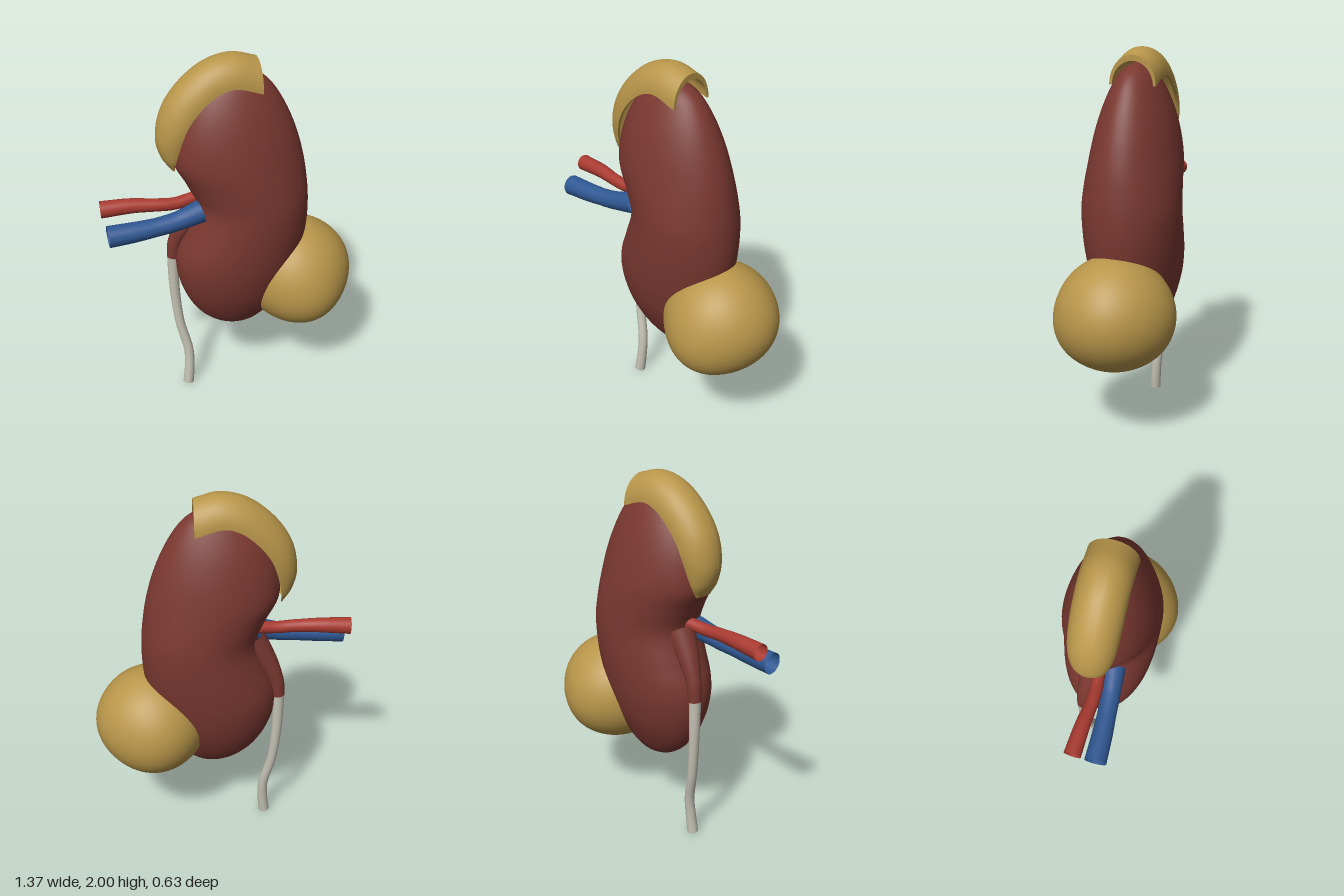
import * as THREE from 'three';
import { toCreasedNormals } from 'three/addons/utils/BufferGeometryUtils.js';

const material = (name, color, side = THREE.FrontSide) => {
  const m = new THREE.MeshStandardMaterial({ color, side });
  m.name = name;
  return m;
};

// Smooth curve through [x, y, z] points, sampled evenly by point index
const spline = (pts) =>
  new THREE.CatmullRomCurve3(pts.map((p) => new THREE.Vector3(...p)), false, 'catmullrom', 0.5);

// Skin a list of closed cross-section loops; caps join each point to its mirror in the loop
function loft(rows, capped = false) {
  const n = rows[0].length, index = [];
  for (let i = 0; i < rows.length - 1; i++) {
    for (let j = 0; j < n; j++) {
      const a = i * n + j, b = i * n + ((j + 1) % n);
      index.push(a, a + n, b, b, a + n, b + n);
    }
  }
  if (capped) {
    const last = (rows.length - 1) * n;
    for (let k = 0; k < n / 2 - 1; k++) {
      const [a, b, c, d] = [k, k + 1, n - 2 - k, n - 1 - k];
      index.push(a, b, d, b, c, d);
      index.push(last + a, last + d, last + b, last + b, last + d, last + c);
    }
  }
  const g = new THREE.BufferGeometry();
  g.setAttribute('position', new THREE.Float32BufferAttribute(rows.flat(2), 3));
  g.setIndex(index);
  g.computeVertexNormals();
  return g;
}

// Tube whose radius follows a list of values along its length
function taperedTube(points, radii, segments = 40, sides = 24) {
  const path = spline(points);
  const g = new THREE.TubeGeometry(path, segments, 1, sides);
  const pos = g.attributes.position, v = new THREE.Vector3();
  for (let i = 0; i <= segments; i++) {
    const centre = path.getPointAt(i / segments);
    const f = (i / segments) * (radii.length - 1);
    const k = Math.min(Math.floor(f), radii.length - 2);
    const r = THREE.MathUtils.lerp(radii[k], radii[k + 1], f - k);
    for (let j = 0; j <= sides; j++) {
      const id = i * (sides + 1) + j;
      v.fromBufferAttribute(pos, id).sub(centre).multiplyScalar(r).add(centre);
      pos.setXYZ(id, v.x, v.y, v.z);
    }
  }
  g.computeVertexNormals();
  return g;
}

// Bean-shaped body: [y, inner edge x, outer edge x, half depth]
function kidneyGeometry() {
  const keys = [
    [0.408, 0.04, 0.04, 0], [0.42, -0.04, 0.115, 0.045], [0.46, -0.12, 0.18, 0.085],
    [0.54, -0.2, 0.25, 0.135], [0.66, -0.265, 0.31, 0.19], [0.8, -0.302, 0.36, 0.228],
    [0.92, -0.295, 0.393, 0.245], [1.05, -0.245, 0.411, 0.253], [1.2, -0.195, 0.411, 0.254],
    [1.33, -0.24, 0.397, 0.245], [1.45, -0.3, 0.375, 0.23], [1.58, -0.295, 0.337, 0.205],
    [1.7, -0.255, 0.287, 0.17], [1.8, -0.195, 0.23, 0.128], [1.87, -0.125, 0.17, 0.088],
    [1.912, -0.05, 0.095, 0.043], [1.925, 0.02, 0.02, 0],
  ];
  const inner = spline(keys.map(([y, l, , d]) => [l, y, d]));
  const outer = spline(keys.map(([y, , r]) => [r, y, 0]));
  const rows = [], steps = 80, sides = 56;
  for (let i = 0; i <= steps; i++) {
    const p = inner.getPoint(i / steps), q = outer.getPoint(i / steps);
    const row = [];
    for (let j = 0; j < sides; j++) {
      const a = (j / sides) * Math.PI * 2;
      row.push([(p.x + q.x) / 2 + ((q.x - p.x) / 2) * Math.cos(a), p.y, p.z * Math.sin(a)]);
    }
    rows.push(row);
  }
  return loft(rows);
}

// Arched shell draped over the upper inner shoulder
function capGeometry() {
  const crest = spline([
    [-0.32, 1.43, 0], [-0.365, 1.5, 0], [-0.385, 1.6, 0], [-0.355, 1.74, 0],
    [-0.27, 1.865, 0], [-0.14, 1.965, 0], [0, 2, 0], [0.13, 1.97, 0],
  ]);
  // z holds the half width
  const rim = spline([
    [-0.305, 1.43, 0.05], [-0.3, 1.5, 0.085], [-0.27, 1.62, 0.112], [-0.235, 1.7, 0.12],
    [-0.17, 1.78, 0.123], [-0.09, 1.84, 0.123], [0, 1.86, 0.123], [0.13, 1.82, 0.123],
  ]);
  const rows = [], steps = 48, arc = 24;
  for (let i = 0; i <= steps; i++) {
    const top = crest.getPoint(i / steps), base = rim.getPoint(i / steps);
    const point = (t, height, width) => {
      const s = Math.sin(t) * height;
      return [base.x + (top.x - base.x) * s, base.y + (top.y - base.y) * s,
        -0.01 + base.z * width * Math.cos(t)];
    };
    const row = [];
    for (let j = 0; j <= arc; j++) row.push(point((j / arc) * Math.PI, 1, 1));
    for (let j = arc; j >= 0; j--) row.push(point((j / arc) * Math.PI, 0.8, 0.88));
    rows.push(row);
  }
  return toCreasedNormals(loft(rows, true), 0.8);
}

// Rounded growth: a ball pushed out by a few soft lumps
function growthGeometry() {
  const g = new THREE.SphereGeometry(1, 56, 40);
  const lumps = [
    [0.1, -0.5, 0.86, 0.11], [0, -0.45, -0.9, 0.06], [1, 0.02, -0.2, 0.05],
    [0.2, 1, 0, 0.02], [-0.3, 0.1, -0.95, 0.04],
  ].map(([x, y, z, h]) => ({ dir: new THREE.Vector3(x, y, z).normalize(), h }));
  const pos = g.attributes.position, v = new THREE.Vector3();
  for (let i = 0; i < pos.count; i++) {
    v.fromBufferAttribute(pos, i).normalize();
    let r = 1;
    for (const { dir, h } of lumps) r += h * Math.exp(-5 * (1 - v.dot(dir)));
    pos.setXYZ(i, v.x * r * 0.3, v.y * r * 0.295, v.z * r * 0.295);
  }
  g.computeVertexNormals();
  // Keep the sphere's seam smooth
  const nor = g.attributes.normal, a = new THREE.Vector3(), b = new THREE.Vector3();
  for (let i = 0; i <= 40; i++) {
    const s = i * 57, e = s + 56;
    a.fromBufferAttribute(nor, s).add(b.fromBufferAttribute(nor, e)).normalize();
    nor.setXYZ(s, a.x, a.y, a.z);
    nor.setXYZ(e, a.x, a.y, a.z);
  }
  return g.translate(0.367, 0.702, 0);
}

export function createModel() {
  const tissue = material('kidney brown', 0x7a3830);
  const gold = material('ochre', 0xb8964a);
  const red = material('artery red', 0xa83a30, THREE.DoubleSide);
  const blue = material('vein blue', 0x2f5792, THREE.DoubleSide);
  const pale = material('ureter grey', 0xc4c0b4, THREE.DoubleSide);

  const group = new THREE.Group();
  const add = (name, geometry, mat) => {
    const mesh = new THREE.Mesh(geometry, mat);
    mesh.name = name;
    group.add(mesh);
  };

  add('kidneyBody', kidneyGeometry(), tissue);
  add('adrenalCap', capGeometry(), gold);
  add('growth', growthGeometry(), gold);

  // Vessels leaving the inner notch
  add('artery', taperedTube(
    [[-0.685, 1.243, -0.005], [-0.53, 1.247, 0.005], [-0.4, 1.24, 0.02], [-0.3, 1.235, 0.02], [-0.17, 1.25, 0]],
    [0.044, 0.04, 0.034, 0.032, 0.032]), red);
  add('vein', taperedTube(
    [[-0.67, 1.145, 0.105], [-0.5, 1.152, 0.103], [-0.35, 1.165, 0.095], [-0.25, 1.185, 0.085], [-0.185, 1.2, 0.075]],
    [0.056, 0.053, 0.048, 0.05, 0.06]), blue);

  // Funnel narrowing into the long drain tube
  add('renalPelvis', taperedTube(
    [[-0.16, 1.2, -0.02], [-0.245, 1.07, -0.04], [-0.296, 0.96, -0.055], [-0.312, 0.86, -0.06]],
    [0.08, 0.06, 0.042, 0.033]), tissue);
  add('ureter', taperedTube(
    [[-0.312, 0.87, -0.06], [-0.31, 0.65, -0.06], [-0.29, 0.42, -0.048], [-0.25, 0.23, -0.025],
      [-0.25, 0.1, -0.012], [-0.26, 0, -0.006]],
    [0.032, 0.028, 0.026, 0.027, 0.03], 60), pale);

  return group;
}
